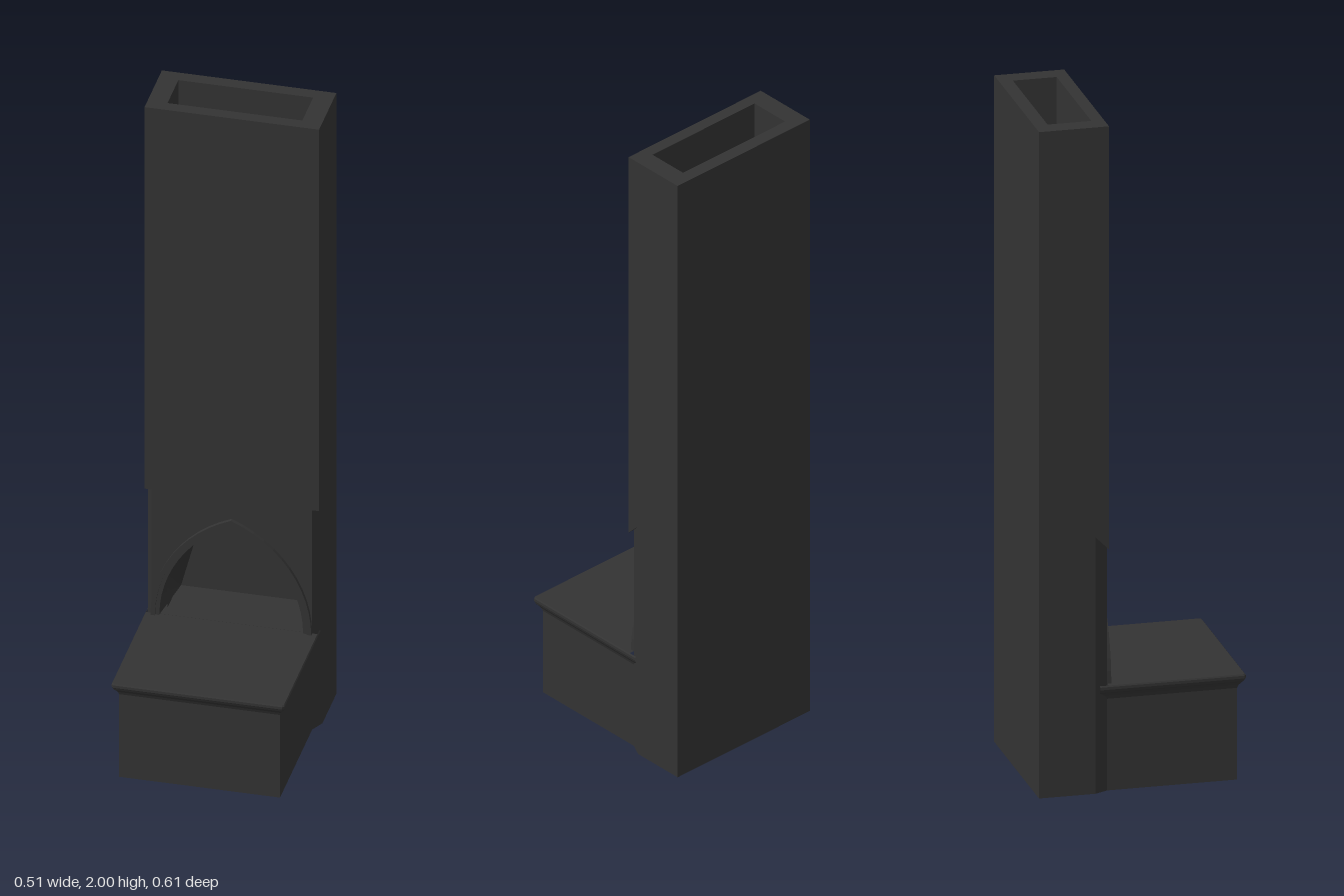
import * as THREE from 'three';

const material = new THREE.MeshStandardMaterial({ color: 0x333333, side: THREE.DoubleSide });

// Flat polygons (convex, as lists of corners) turned into one faceted geometry
function facets(polygons) {
  const pos = [];
  for (const p of polygons) {
    for (let i = 1; i < p.length - 1; i++) pos.push(...p[0], ...p[i], ...p[i + 1]);
  }
  const g = new THREE.BufferGeometry();
  g.setAttribute('position', new THREE.Float32BufferAttribute(pos, 3));
  g.computeVertexNormals();
  return g;
}

// The same polygons on both sides, with the winding kept outward
function mirrored(polygons) {
  return [...polygons, ...polygons.map(p => p.map(([x, y, z]) => [-x, y, z]).reverse())];
}

// Pointed arch from right foot over the apex to the left foot
function archPoints(halfWidth, apex, foot = 0.32, steps = 12) {
  const h = apex - foot;
  const cx = (halfWidth * halfWidth - h * h) / (2 * halfWidth);
  const r = halfWidth - cx;
  const end = Math.atan2(h, -cx);
  const half = [];
  for (let i = 0; i <= steps; i++) {
    const a = end * i / steps;
    half.push(new THREE.Vector2(Math.max(0, cx + r * Math.cos(a)), foot + r * Math.sin(a)));
  }
  const other = half.slice(0, -1).reverse().map(p => new THREE.Vector2(-p.x, p.y));
  return [...half, ...other];
}

export function createModel() {
  const model = new THREE.Group();
  const add = (name, geometry) => {
    const mesh = new THREE.Mesh(geometry, material);
    mesh.name = name;
    model.add(mesh);
    return mesh;
  };

  const W = 0.255, back = -0.305, front = -0.1, top = 2; // chimney outside
  const w = 0.197, fBack = -0.265, fFront = -0.137;      // flue inside
  const c = 0.235, cz = -0.14, floorY = 0.32;            // chamfer and hearth level
  const inner = archPoints(0.21, 0.645);

  // Chimney front with the arched opening
  const face = new THREE.Shape([
    [c, floorY], [c, 0.73], [W, 0.73], [W, top],
    [-W, top], [-W, 0.73], [-c, 0.73], [-c, floorY],
  ].map(p => new THREE.Vector2(...p)));
  const hole = inner.map(p => new THREE.Vector2(p.x, p.y + 0.0005));
  face.holes.push(new THREE.Path(hole));
  add('chimneyFront', new THREE.ShapeGeometry(face).translate(0, 0, front));

  // Chimney back, and sides with stopped chamfers on the lower front corners
  add('chimneyBack', facets([[[W, 0, back], [-W, 0, back], [-W, top, back], [W, top, back]]]));
  add('chimneySides', facets(mirrored([
    [[W, 0, cz], [W, 0, back], [W, top, back], [W, top, cz]],
    [[W, 0.73, front], [W, 0.77, cz], [W, top, cz], [W, top, front]],
    [[c, 0, front], [W, 0, cz], [W, 0.77, cz], [c, 0.73, front]],
    [[c, 0.73, front], [W, 0.77, cz], [W, 0.73, front]],
  ])));

  // Chimney rim around the flue
  add('chimneyRim', facets([
    ...mirrored([[[W, top, front], [W, top, back], [w, top, fBack], [w, top, fFront]]]),
    [[-W, top, front], [W, top, front], [w, top, fFront], [-w, top, fFront]],
    [[W, top, back], [-W, top, back], [-w, top, fBack], [w, top, fBack]],
  ]));

  // Flue walls, and the lintel closing the front wall above the arch
  const lintel = 0.665;
  add('flue', facets([
    ...mirrored([[[w, floorY, fBack], [w, floorY, fFront], [w, top, fFront], [w, top, fBack]]]),
    [[-w, floorY, fBack], [w, floorY, fBack], [w, top, fBack], [-w, top, fBack]],
    [[w, lintel, fFront], [-w, lintel, fFront], [-w, top, fFront], [w, top, fFront]],
    [[-w, lintel, fFront], [w, lintel, fFront], [w, lintel, front], [-w, lintel, front]],
  ]));

  // Splayed wings fanning from the arch to the back corners of the niche
  const corner = [0.189, floorY, fBack];
  const curve = inner.slice(0, 9).filter(p => p.y < 0.57);
  add('nicheWings', facets(mirrored(curve.slice(1).map((p, i) => [
    corner, [curve[i].x, curve[i].y, front], [p.x, p.y, front],
  ]))));

  // Raised arch moulding, made of two stepped bands
  const band = (name, outer, inside, depth) => {
    const shape = new THREE.Shape([...outer, ...inside.slice().reverse()]);
    const g = new THREE.ExtrudeGeometry(shape, { depth, bevelEnabled: false });
    add(name, g.translate(0, 0, front));
  };
  const middle = archPoints(0.222, 0.656);
  band('archMouldingOuter', archPoints(0.235, 0.667), middle, 0.012);
  band('archMouldingInner', middle, inner, 0.007);

  // Hearth walls and coved slab edge: one profile carried round three sides
  const profile = [[0, 0], [0, 0.275], [0.004, 0.285], [0.011, 0.294],
    [0.016, 0.299], [0.018, 0.304], [0.02, 0.308], [0.02, 0.316], [0.017, floorY]];
  const ring = ([o, y]) => {
    const x = c + o * 0.9, z = 0.28 + o * 1.15, k = o * 0.3, b = o ? -0.125 : front;
    return [[x, y, b], [x, y, z - k], [x - k, y, z], [-x + k, y, z], [-x, y, z - k], [-x, y, b]];
  };
  const walls = [];
  for (let i = 0; i < profile.length - 1; i++) {
    const lo = ring(profile[i]), hi = ring(profile[i + 1]);
    for (let j = 0; j < 5; j++) walls.push([lo[j + 1], lo[j], hi[j], hi[j + 1]]);
  }
  add('hearthWalls', facets(walls));

  // Hearth top, running back into the niche
  const rim = ring(profile[profile.length - 1]);
  rim[0][2] = rim[5][2] = front;
  add('hearthTop', facets([
    rim.slice().reverse(),
    [[-0.215, floorY, front], [0.215, floorY, front], corner, [-corner[0], floorY, fBack]],
  ]));

  return model;
}
